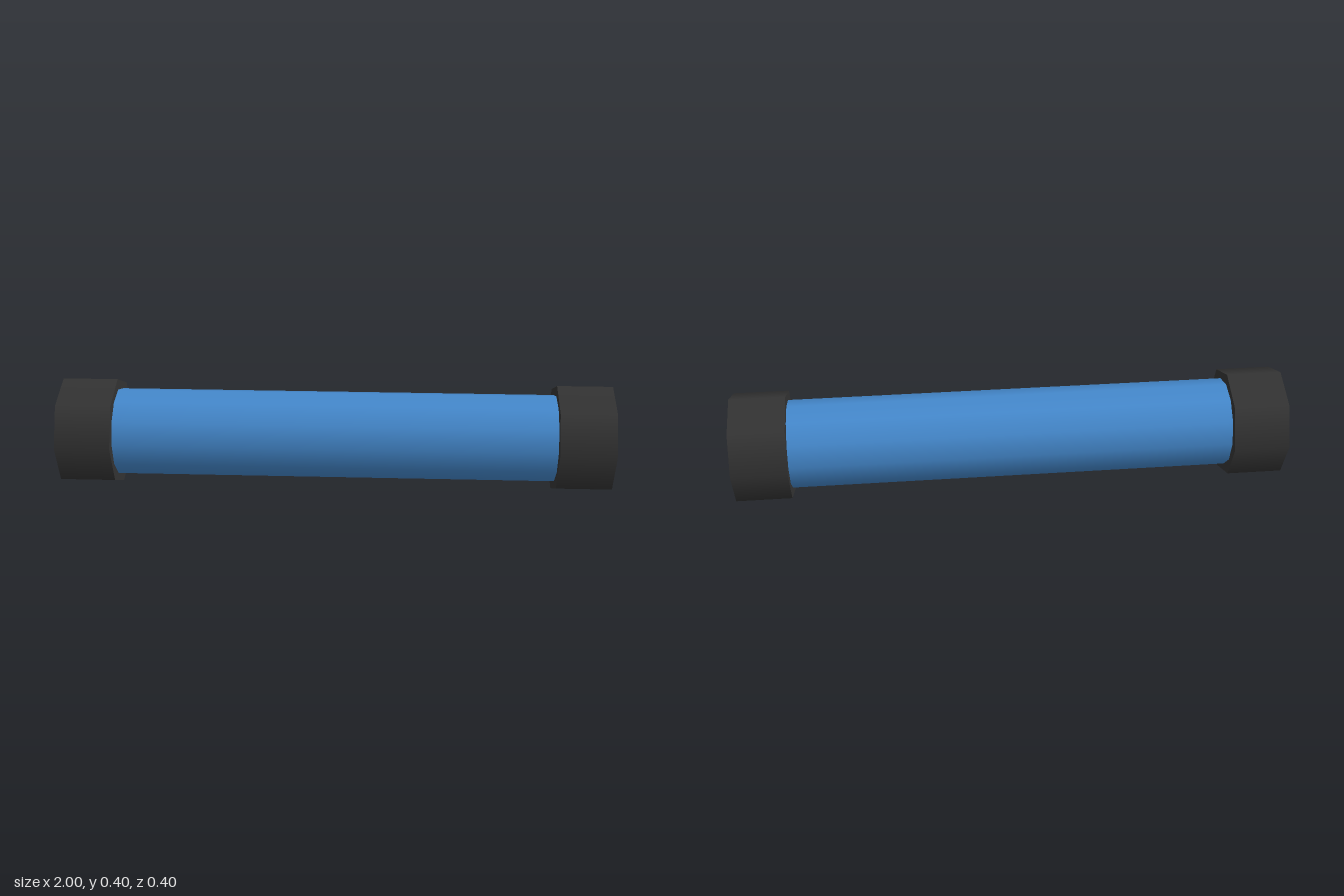
import * as THREE from 'three';

export function createModel() {
  const group = new THREE.Group();
  const blue = new THREE.MeshStandardMaterial({ color: 0x4488cc });
  const dark = new THREE.MeshStandardMaterial({ color: 0x333333 });

  // Cylinder lying along x, resting at the shared axis height
  const addBar = (name, radius, length, sides, x, material) => {
    const geometry = new THREE.CylinderGeometry(radius, radius, length, sides);
    geometry.rotateZ(Math.PI / 2);
    const mesh = new THREE.Mesh(geometry, material);
    mesh.name = name;
    mesh.position.set(x, 0.2, 0);
    group.add(mesh);
  };

  // Twelve-sided tube between the caps
  addBar('tube', 0.16, 1.6, 12, 0, blue);

  // Octagonal caps, one at each end
  addBar('leftCap', 0.2, 0.2, 8, 0.9, dark);
  addBar('rightCap', 0.2, 0.2, 8, -0.9, dark);

  return group;
}
